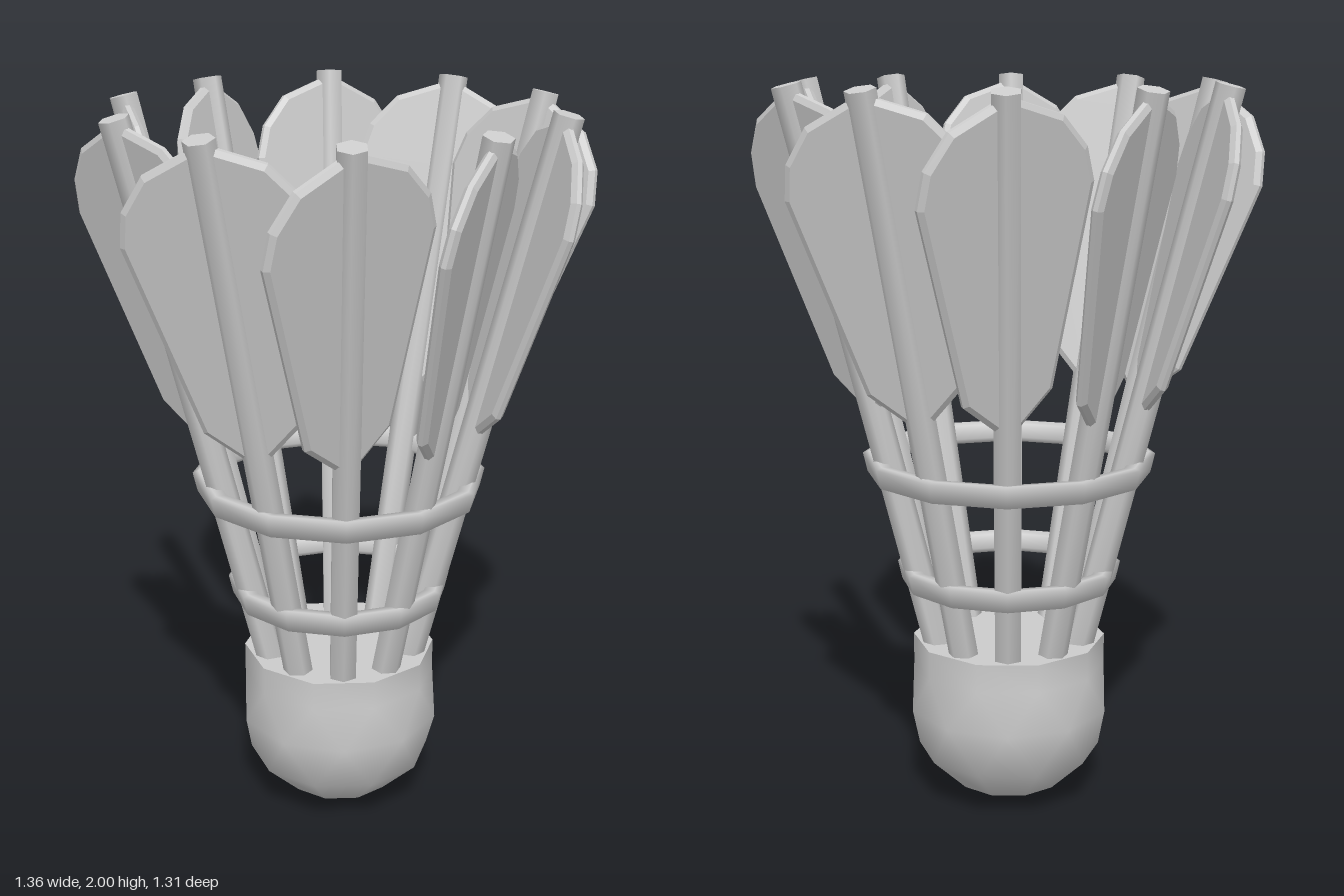
import * as THREE from 'three';
import { mergeVertices } from 'three/addons/utils/BufferGeometryUtils.js';

const material = new THREE.MeshStandardMaterial({ color: 0xcccccc });
const RIBS = 10;
const TILT = Math.atan(0.25); // outward lean of the feathers

function add(parent, name, geometry) {
  const mesh = new THREE.Mesh(geometry, material);
  mesh.name = name;
  parent.add(mesh);
  return mesh;
}

// Weld seams and shade smoothly
function smooth(geometry) {
  geometry.deleteAttribute('uv');
  geometry.deleteAttribute('normal');
  const welded = mergeVertices(geometry, 1e-4);
  welded.computeVertexNormals();
  return welded;
}

// Ten-sided rounded tip; the bulge row is staggered by half a side
function corkGeometry() {
  const rows = [
    [0, 0, 0], [0.15, 0.04, 0], [0.255, 0.14, 0],
    [0.282, 0.27, 0.5], [0.268, 0.39, 1], [0.268, 0.47, 1],
  ]; // radius, height, twist in sides
  const side = (Math.PI * 2) / RIBS;
  const profile = rows.map(([r, y]) => new THREE.Vector2(r, y));
  const geometry = new THREE.LatheGeometry(profile, RIBS, side / 2);
  const pos = geometry.attributes.position;
  const v = new THREE.Vector3();
  const up = new THREE.Vector3(0, 1, 0);
  for (let i = 0; i < pos.count; i++) {
    v.fromBufferAttribute(pos, i).applyAxisAngle(up, rows[i % rows.length][2] * side);
    pos.setXYZ(i, v.x, v.y, v.z);
  }
  return smooth(geometry);
}

// Binding ring with a chamfered section that follows the cone
function ringGeometry(radius, y) {
  const section = [
    [-0.028, -0.012], [-0.012, -0.028], [0.018, -0.028], [0.03, 0.024],
    [0.014, 0.03], [-0.018, 0.026], [-0.028, -0.012],
  ];
  const profile = section.map(([r, h]) => new THREE.Vector2(radius + r, y + h));
  return smooth(new THREE.LatheGeometry(profile, 12));
}

// Leaf-shaped plate with a bevelled rim
function vaneGeometry() {
  const half = [[0.125, 0.84], [0.235, 1.37], [0.215, 1.46], [0.15, 1.545]];
  const outline = [
    [0, 0.72], ...half, [0, 1.61],
    ...half.map(([x, y]) => [-x, y]).reverse(),
  ];
  const shape = new THREE.Shape(outline.map(([x, y]) => new THREE.Vector2(x, y)));
  const geometry = new THREE.ExtrudeGeometry(shape, {
    depth: 0.012, bevelEnabled: true, bevelThickness: 0.01,
    bevelSize: 0.014, bevelOffset: -0.014, bevelSegments: 1,
  });
  return geometry.translate(0, 0, -0.006);
}

export function createModel() {
  const model = new THREE.Group();
  model.name = 'shuttlecock';

  // Cork and its flat top
  add(model, 'cork', corkGeometry());
  const cap = new THREE.CircleGeometry(0.268, RIBS).rotateX(-Math.PI / 2);
  add(model, 'corkTop', cap).position.y = 0.47;

  // Rings binding the quills
  add(model, 'lowerRing', ringGeometry(0.28, 0.66));
  add(model, 'upperRing', ringGeometry(0.372, 0.97));

  // Feathers: a six-sided quill with a vane turned about it
  const length = 1.62;
  const quill = smooth(new THREE.CylinderGeometry(0.04, 0.04, length, 6, 1, true));
  quill.translate(0, length / 2, 0);
  const end = new THREE.CircleGeometry(0.04, 6, Math.PI / 6).rotateX(-Math.PI / 2);
  const vane = vaneGeometry();
  for (let i = 0; i < RIBS; i++) {
    const spoke = new THREE.Group();
    spoke.name = 'feather' + (i + 1);
    spoke.rotation.y = (i * Math.PI * 2) / RIBS;
    model.add(spoke);

    const feather = new THREE.Group();
    feather.name = 'featherBlade';
    feather.position.set(0, 0.42, 0.195);
    feather.rotation.x = TILT;
    spoke.add(feather);

    add(feather, 'quill', quill);
    add(feather, 'quillEnd', end).position.y = length;
    add(feather, 'vane', vane).rotation.y = THREE.MathUtils.degToRad(28);
  }
  return model;
}
